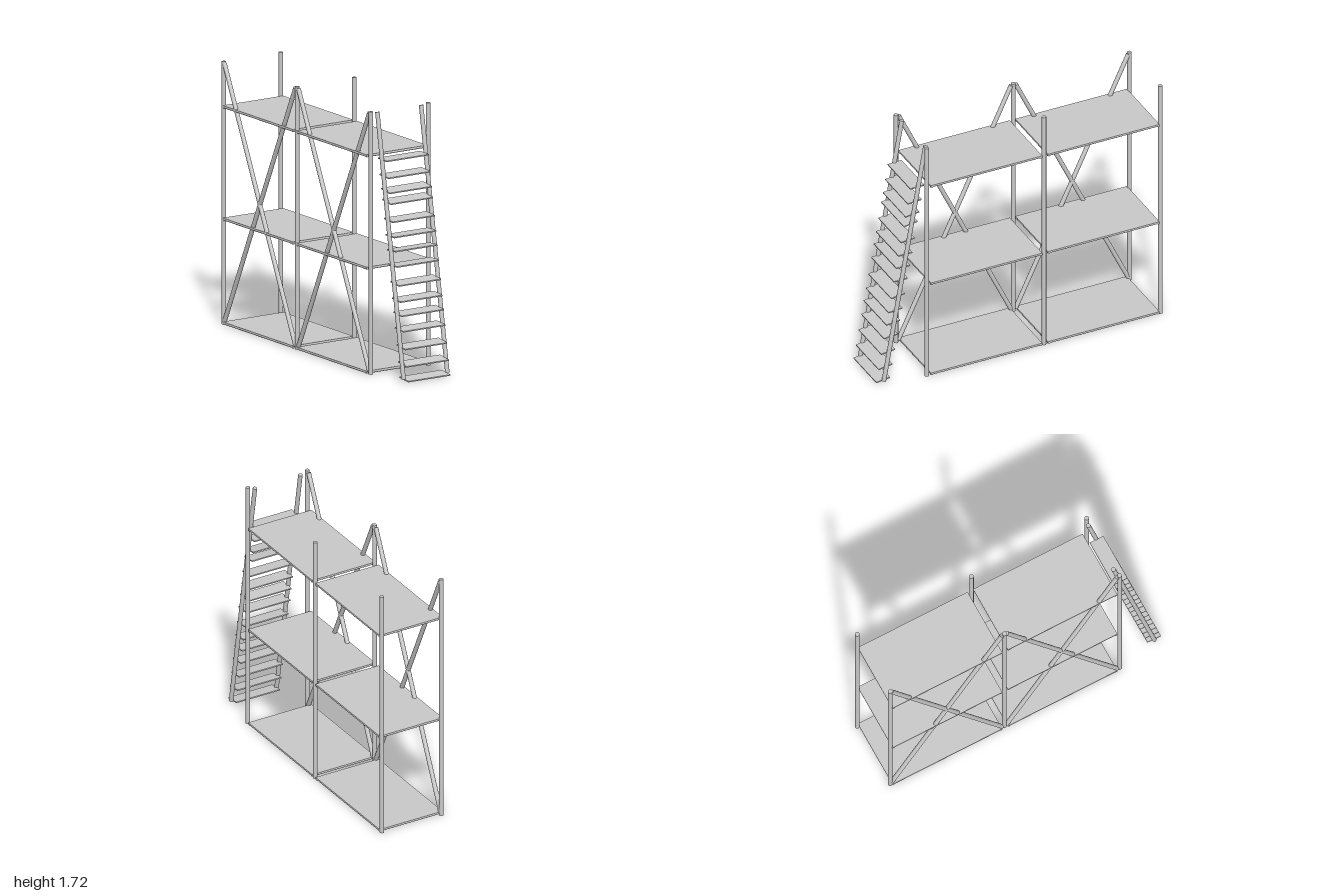
import * as THREE from 'three';

const R = 0.0145; // radius of the structural tubes
const material = new THREE.MeshStandardMaterial({ color: 0xcccccc });

function add(parent, name, geometry) {
  const mesh = new THREE.Mesh(geometry, material);
  mesh.name = name;
  parent.add(mesh);
  return mesh;
}

// Straight round tube between two points
function tube(parent, name, from, to, radius = R) {
  const a = new THREE.Vector3(...from);
  const b = new THREE.Vector3(...to);
  const dir = b.clone().sub(a);
  const mesh = add(parent, name, new THREE.CylinderGeometry(radius, radius, dir.length(), 16));
  mesh.position.copy(a).add(b).multiplyScalar(0.5);
  mesh.quaternion.setFromUnitVectors(new THREE.Vector3(0, 1, 0), dir.normalize());
  return mesh;
}

// Deck: thin sheet resting in a frame of slim tubes
function deck(parent, y, zFront, zBack) {
  const group = new THREE.Group();
  group.name = 'deck';
  parent.add(group);
  const r = 0.009, x0 = -0.238, x1 = 0.229;
  const l = x0 + r, rt = x1 - r, f = zFront - r, b = zBack + r;
  for (const x of [l, rt]) tube(group, 'deckSideBar', [x, y, zFront], [x, y, zBack], r);
  for (const z of [f, b]) tube(group, 'deckCrossBar', [x0, y, z], [x1, y, z], r);
  const sheet = add(group, 'deckSheet', new THREE.BoxGeometry(x1 - x0, 0.004, zFront - zBack));
  sheet.position.set((x0 + x1) / 2, y + r - 0.002, (zFront + zBack) / 2);
}

// Leaning ladder with slightly uneven treads
function ladder() {
  const group = new THREE.Group();
  group.name = 'ladder';
  const railZ = (y) => 0.957 - 0.1746 * y;
  for (const x of [-0.164, 0.173]) {
    tube(group, 'ladderRail', [x, 0.015, railZ(0.015)], [x, 1.705, railZ(1.705)]);
  }
  // Height and tilt of each tread
  const treads = [
    [0.014, 0.12], [0.109, 0.15], [0.217, 0.13], [0.328, 0.09], [0.426, 0.1],
    [0.515, 0.09], [0.618, 0.11], [0.733, 0], [0.828, -0.05], [0.919, 0],
    [1.019, 0.08], [1.136, 0.14], [1.205, 0.14], [1.297, 0.08], [1.402, 0.03],
  ];
  for (const [y, tilt] of treads) {
    const tread = add(group, 'ladderTread', new THREE.BoxGeometry(0.324, 0.008, 0.098));
    tread.position.set(0.001, y, railZ(y));
    tread.rotation.x = tilt;
  }
  return group;
}

export function createModel() {
  const model = new THREE.Group();
  model.name = 'scaffold';
  const top = 1.718;

  // Upright poles
  for (const z of [0.672, -0.16, -0.985]) {
    for (const x of [-0.222, 0.218]) tube(model, 'pole', [x, 0, z], [x, top, z]);
  }

  // Two bays, each with three decks and a crossed pair of braces on one side
  for (const [zFront, zBack] of [[0.648, -0.143], [-0.183, -0.976]]) {
    for (const y of [0.009, 0.689, 1.424]) deck(model, y, zFront, zBack);
    const f = zFront + 0.006, b = zBack - 0.002;
    tube(model, 'crossBrace', [-0.222, 1.706, f], [-0.222, 0.016, b]);
    tube(model, 'crossBrace', [-0.222, 1.706, b], [-0.222, 0.016, f]);
  }

  model.add(ladder());
  return model;
}
